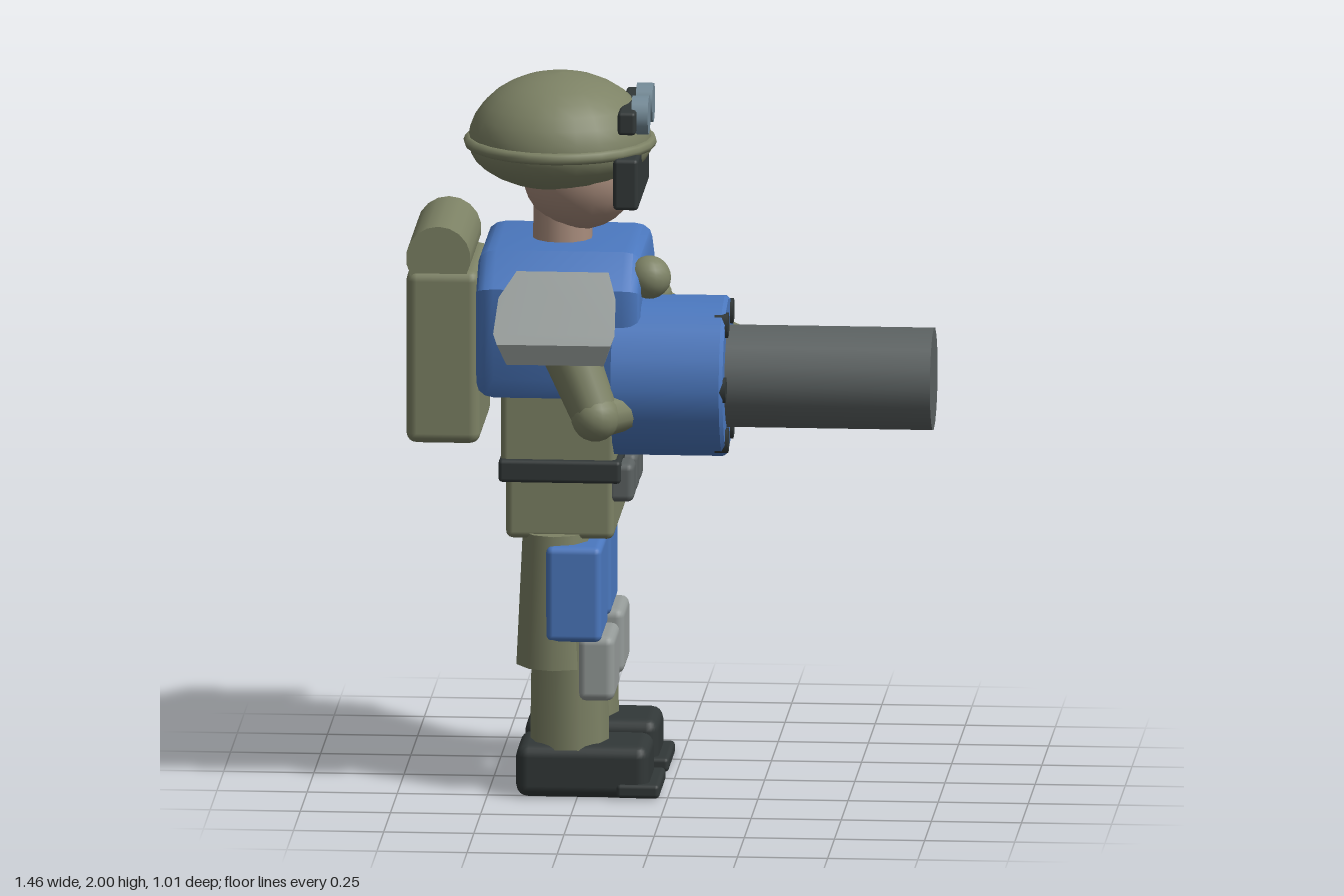
import * as THREE from 'three';
import { toCreasedNormals } from 'three/addons/utils/BufferGeometryUtils.js';
import { RoundedBoxGeometry } from 'three/addons/geometries/RoundedBoxGeometry.js';
import { ConvexGeometry } from 'three/addons/geometries/ConvexGeometry.js';

const mat = (name, color) => Object.assign(new THREE.MeshStandardMaterial({ color }), { name });

export function createModel() {
  const root = new THREE.Group();
  root.name = 'armouredGunner';
  const olive = mat('olive', 0x7d8265);
  const blue = mat('blue', 0x4b78bf);
  const dark = mat('nearBlack', 0x323838);
  const gun = mat('gunGrey', 0x5c6262);
  const light = mat('lightGrey', 0x959b99);
  const lens = mat('lensBlue', 0x748b98);
  const skin = mat('skin', 0xa88c7c);

  const add = (name, geo, material, x = 0, y = 0, z = 0) => {
    const m = new THREE.Mesh(geo, material);
    m.name = name;
    m.position.set(x, y, z);
    root.add(m);
    return m;
  };
  // rounded box from its min and max bounds on each axis
  const box = (name, material, [x0, x1], [y0, y1], [z0, z1], r = 0.02) =>
    add(name, new RoundedBoxGeometry(x1 - x0, y1 - y0, z1 - z0, 2, r), material,
      (x0 + x1) / 2, (y0 + y1) / 2, (z0 + z1) / 2);
  const ball = (name, material, r, x, y, z) =>
    add(name, new THREE.SphereGeometry(r, 16, 12), material, x, y, z);
  // tapered round limb between two points
  const limb = (name, material, a, b, ra, rb, sides = 12) => {
    const p = new THREE.Vector3(...a), q = new THREE.Vector3(...b);
    const d = q.clone().sub(p);
    const m = add(name, new THREE.CylinderGeometry(rb, ra, d.length(), sides), material);
    m.position.copy(p).add(q).multiplyScalar(0.5);
    m.quaternion.setFromUnitVectors(new THREE.Vector3(0, 1, 0), d.normalize());
    return m;
  };

  // torso: chamfered outline across z, extruded along x with a bevel
  const outline = new THREE.Shape([
    [-0.25, 1.17], [0.25, 1.17], [0.265, 1.2], [0.265, 1.43], [0.18, 1.5],
    [-0.18, 1.5], [-0.265, 1.43], [-0.265, 1.2],
  ].map(([z, y]) => new THREE.Vector2(z, y)));
  const torsoGeo = new THREE.ExtrudeGeometry(outline, {
    depth: 0.355, bevelEnabled: true, bevelThickness: 0.05, bevelSize: 0.035, bevelSegments: 3,
  });
  torsoGeo.rotateY(Math.PI / 2);
  add('torso', toCreasedNormals(torsoGeo, 0.6), blue, -0.48);
  box('chestPouch', dark, [-0.12, -0.03], [1.22, 1.395], [-0.175, -0.02], 0.01);
  box('abdomen', olive, [-0.465, -0.145], [0.93, 1.16], [-0.24, 0.24]);
  box('belt', dark, [-0.47, -0.13], [0.89, 0.955], [-0.255, 0.255], 0.012);
  box('hips', olive, [-0.45, -0.15], [0.73, 0.91], [-0.245, 0.245]);
  for (const z of [0.19, 0.06, -0.07])
    box('beltPouch', gun, [-0.17, -0.095], [0.835, 0.945], [z - 0.05, z + 0.05]);

  // backpack with bedroll
  box('backpack', olive, [-0.73, -0.525], [0.985, 1.475], [-0.21, 0.21], 0.03);
  const roll = add('bedroll', new THREE.CylinderGeometry(0.09, 0.09, 0.4, 18), olive, -0.64, 1.51, 0);
  roll.rotation.x = Math.PI / 2;

  // head, helmet, visor and goggles
  add('neck', new THREE.CylinderGeometry(0.08, 0.085, 0.18, 14), skin, -0.31, 1.57, 0);
  add('head', new THREE.SphereGeometry(0.165, 20, 14), skin, -0.26, 1.725, 0);
  const profile = [];
  for (let i = 0; i <= 16; i++) {
    const a = -Math.PI / 2 + (Math.PI * i) / 16;
    profile.push(new THREE.Vector2(Math.max(0, 0.255 * Math.cos(a)), Math.sin(a) * (i < 8 ? 0.13 : 0.195)));
  }
  add('helmet', new THREE.LatheGeometry(profile, 24), olive, -0.317, 1.805, 0);
  const brim = add('helmetBrim', new THREE.TorusGeometry(0.251, 0.017, 8, 24), olive, -0.317, 1.807, 0);
  brim.rotation.x = Math.PI / 2;
  box('visor', dark, [-0.155, -0.085], [1.655, 1.8], [-0.21, 0.21], 0.012);
  box('goggleStrap', dark, [-0.145, -0.095], [1.86, 1.925], [-0.175, 0.175], 0.01);
  for (const s of [1, -1])
    limb('goggleLens', lens, [-0.11, 1.9, s * 0.083], [-0.064, 1.9, s * 0.083], 0.055, 0.055, 16);

  // legs and shoulder plates, mirrored across z
  for (const s of [1, -1]) {
    const span = (a, b) => (s > 0 ? [a, b] : [-b, -a]);
    const thigh = add('thigh', new THREE.CylinderGeometry(0.105, 0.125, 0.375, 10), olive, -0.315, 0.5575, s * 0.18);
    thigh.scale.x = 0.9;
    box('thighPlate', blue, [-0.335, -0.18], [0.45, 0.72], span(0.05, 0.305));
    const shin = add('shin', new THREE.CylinderGeometry(0.105, 0.11, 0.34, 10), olive, -0.277, 0.29, s * 0.178);
    shin.rotation.y = Math.PI / 10;
    box('kneePad', light, [-0.25, -0.145], [0.28, 0.465], span(0.07, 0.288), 0.025);
    box('boot', dark, [-0.42, -0.05], [0.005, 0.155], span(0.06, 0.29), 0.035);
    box('bootToe', dark, [-0.14, -0.02], [0.01, 0.05], span(0.053, 0.297), 0.012);

    const plate = [
      [-0.415, -0.16, 1.5, 0.3], [-0.415, -0.16, 1.43, 0.325], [-0.46, -0.135, 1.44, 0.375],
      [-0.467, -0.13, 1.36, 0.48], [-0.455, -0.14, 1.335, 0.503],
      [-0.43, -0.16, 1.275, 0.485],
    ].flatMap(([x0, x1, y, z]) => [x0, x1].map((x) => new THREE.Vector3(x, y, s * z)));
    add('shoulderPlate', toCreasedNormals(new ConvexGeometry(plate), 0.3), light);
  }

  // left arm, bent beneath the cannon drum
  limb('leftUpperArm', olive, [-0.31, 1.39, 0.32], [-0.19, 1.11, 0.385], 0.085, 0.065);
  ball('leftElbow', olive, 0.068, -0.19, 1.11, 0.39);
  limb('leftForearm', olive, [-0.19, 1.11, 0.39], [-0.08, 1.11, 0.27], 0.06, 0.05);
  ball('leftHand', olive, 0.06, -0.08, 1.11, 0.27);

  // right arm, reaching across to the barrel
  limb('rightUpperArm', olive, [-0.29, 1.4, -0.32], [-0.06, 1.245, -0.315], 0.085, 0.065);
  limb('rightSleeve', olive, [-0.17, 1.38, -0.355], [-0.06, 1.245, -0.315], 0.05, 0.07);
  ball('rightElbow', olive, 0.072, -0.06, 1.245, -0.315);
  limb('rightForearm', olive, [-0.06, 1.245, -0.315], [0.21, 1.225, 0.01], 0.065, 0.055);
  ball('rightHand', olive, 0.055, 0.21, 1.225, 0.02);

  // grip knobs around the drum
  ball('gripKnob', olive, 0.06, -0.055, 1.465, 0.19);
  ball('gripKnob', olive, 0.05, -0.05, 1.395, 0.085);
  ball('gripKnob', olive, 0.06, -0.06, 1.11, -0.19);

  // cannon: drum, barrel and ring of bolts, all along x
  const cy = 1.18, cz = 0.145;
  limb('cannonDrum', blue, [-0.15, cy, cz], [0.15, cy, cz], 0.226, 0.226, 16);
  limb('drumRim', blue, [0.15, cy, cz], [0.16, cy, cz], 0.226, 0.216, 16);
  limb('barrel', gun, [0.1, cy, cz], [0.73, cy, cz], 0.144, 0.144, 16);
  for (let i = 0; i < 6; i++) {
    const a = (i * Math.PI) / 3;
    const y = cy + 0.188 * Math.sin(a), z = cz + 0.188 * Math.cos(a);
    limb('bolt', dark, [0.13, y, z], [0.168, y, z], 0.037, 0.037, 6);
  }
  return root;
}
